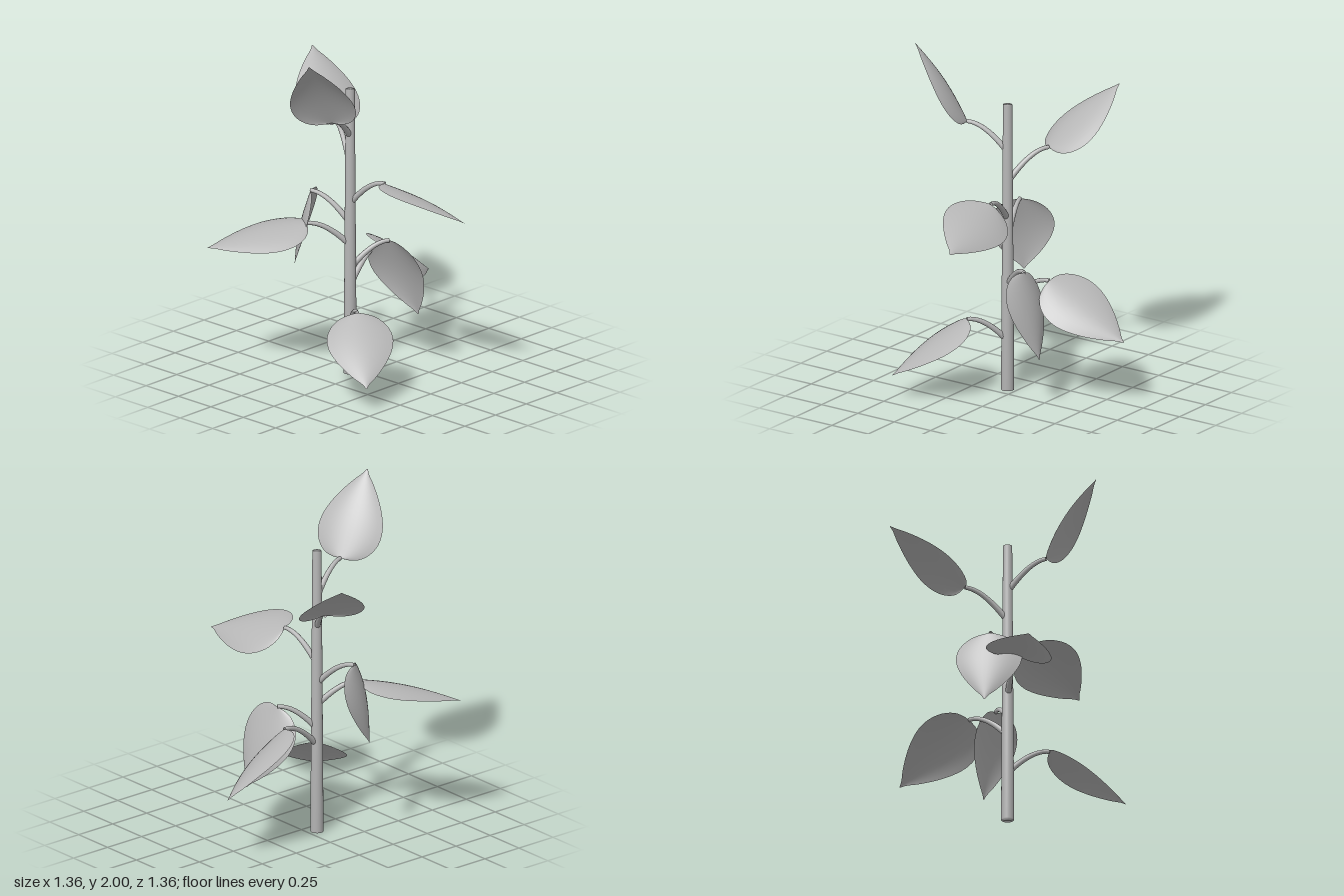
import * as THREE from 'three';

const grey = new THREE.MeshStandardMaterial({ color: 0xb6b6b6, side: THREE.DoubleSide });
grey.name = 'plant grey';

const STEM_X = -0.07, STEM_Z = 0.055;
const V = (a) => new THREE.Vector3(...a);

// node: height on the stem; base and tip of the blade; across: direction of its width
const LEAVES = [
  { node: 0.31, base: [0.12, 0.44, 0.2], tip: [0.455, 0.145, 0.475], across: [0.29, -0.04, -0.21] },
  { node: 0.54, base: [-0.1, 0.69, -0.21], tip: [-0.16, 0.4, -0.68], across: [0.36, -0.12, 0.12] },
  { node: 0.64, base: [0.045, 0.765, -0.14], tip: [0.12, 0.3, -0.3], across: [0.32, 0.05, -0.02] },
  { node: 0.78, base: [-0.22, 0.905, 0.25], tip: [-0.58, 0.78, 0.68], across: [0.28, -0.06, 0.23] },
  { node: 0.91, base: [-0.3, 1.05, 0.135], tip: [-0.39, 0.6, 0.17], across: [0.17, -0.05, 0.25] },
  { node: 1.03, base: [0.155, 1.17, 0.01], tip: [0.68, 1.04, -0.085], across: [0, -0.18, -0.35] },
  { node: 1.25, base: [-0.29, 1.4, -0.07], tip: [-0.68, 1.71, -0.28], across: [0.15, -0.015, -0.29] },
  { node: 1.43, base: [0, 1.565, 0.285], tip: [0.1, 2, 0.57], across: [0.31, 0.1, -0.13] },
];

// Half outline of a blade: position along the midrib, half width
const OUTLINE = new THREE.CatmullRomCurve3([
  [0, 0], [0.005, 0.05], [0.035, 0.1], [0.12, 0.151], [0.25, 0.182], [0.4, 0.183],
  [0.55, 0.158], [0.7, 0.116], [0.85, 0.061], [0.94, 0.021], [1, 0.002],
].map(([t, w]) => new THREE.Vector3(t, w, 0)));

// Blade: arched along the midrib, with the sides drooping
function bladeGeometry({ base, tip, across }) {
  const rows = 30, cols = 12;
  const start = V(base);
  const along = V(tip).sub(start);
  const dir = along.clone().normalize();
  const side = V(across).addScaledVector(dir, -V(across).dot(dir)).normalize();
  const up = new THREE.Vector3().crossVectors(side, dir);
  if (up.y < 0) { up.negate(); side.negate(); }

  const positions = [], index = [];
  for (let i = 0; i <= rows; i++) {
    const { x: t, y: w } = OUTLINE.getPoint(i / rows);
    for (let j = 0; j <= cols; j++) {
      const s = (j / cols) * 2 - 1;
      const droop = 0.045 * s * s * (w / 0.183);
      const p = start.clone()
        .addScaledVector(along, t)
        .addScaledVector(side, s * w)
        .addScaledVector(up, 0.018 * Math.sin(Math.PI * t) - droop);
      positions.push(p.x, p.y, p.z);
      if (i < rows && j < cols) {
        const a = i * (cols + 1) + j, b = a + cols + 1;
        index.push(a, a + 1, b, b, a + 1, b + 1);
      }
    }
  }
  // Keep the front of the blade on its upper side
  const g = new THREE.BufferGeometry();
  g.setAttribute('position', new THREE.Float32BufferAttribute(positions, 3));
  if (new THREE.Vector3().crossVectors(side, dir).dot(up) < 0) index.reverse();
  g.setIndex(index);
  g.computeVertexNormals();
  return g;
}

// Stalk: rises from the stem and levels out at the blade
function stalkGeometry({ node, base }) {
  const a = new THREE.Vector3(STEM_X, node - 0.02, STEM_Z), b = V(base);
  const bend = a.clone().lerp(b, 0.58).setY(b.y + 0.005);
  const curve = new THREE.QuadraticBezierCurve3(a, bend, b);
  const segments = 14, sides = 10;
  const g = new THREE.TubeGeometry(curve, segments, 0.018, sides);
  // Taper towards the blade
  const pos = g.attributes.position, v = new THREE.Vector3();
  for (let i = 0; i < pos.count; i++) {
    const t = Math.floor(i / (sides + 1)) / segments;
    const c = curve.getPointAt(t);
    v.fromBufferAttribute(pos, i).sub(c).multiplyScalar(1 - 0.35 * t).add(c);
    pos.setXYZ(i, v.x, v.y, v.z);
  }
  return g;
}

function addMesh(parent, name, geometry) {
  const mesh = new THREE.Mesh(geometry, grey);
  mesh.name = name;
  parent.add(mesh);
  return mesh;
}

export function createModel() {
  const plant = new THREE.Group();
  plant.name = 'plant';

  // Tapering stem, shaded smoothly over its ends
  const profile = [[0, 0], [0.037, 0], [0.033, 0.65], [0.026, 1.69], [0, 1.69]]
    .map(([r, y]) => new THREE.Vector2(r, y));
  addMesh(plant, 'stem', new THREE.LatheGeometry(profile, 20)).position.set(STEM_X, 0, STEM_Z);

  LEAVES.forEach((spec, i) => {
    const leaf = new THREE.Group();
    leaf.name = `leaf${i + 1}`;
    addMesh(leaf, 'stalk', stalkGeometry(spec));
    addMesh(leaf, 'blade', bladeGeometry(spec));
    plant.add(leaf);
  });
  return plant;
}
